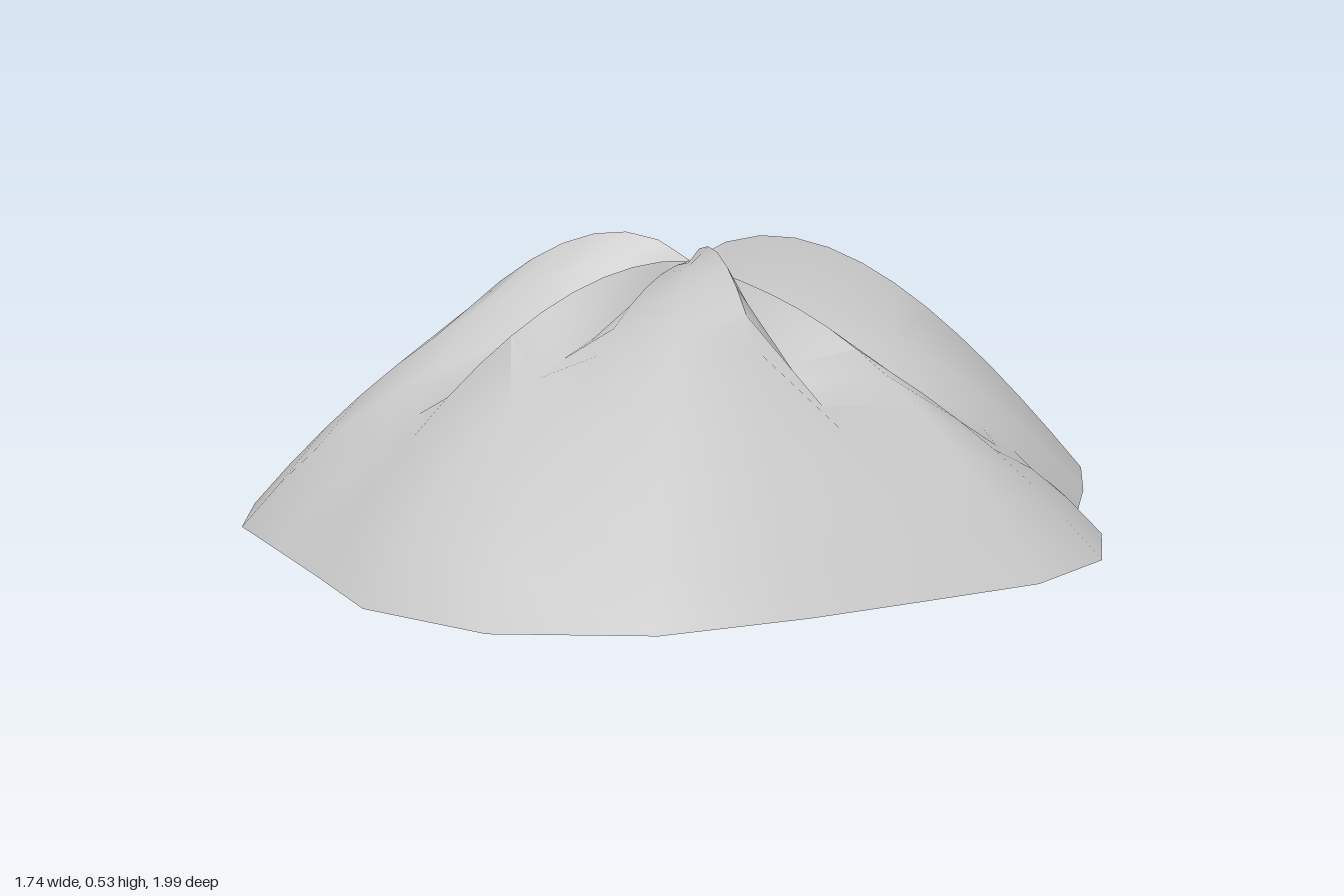
import * as THREE from 'three';
import { toCreasedNormals } from 'three/addons/utils/BufferGeometryUtils.js';

// One spoke every 15 degrees, clockwise from the back:
// [rim radius, bulge near the peak, bulge near the rim]
const SPOKES = [
  [1.0, -0.85, 0.4], [0.97, -0.2, 0.36], [0.94, 0.3, 0.48], [0.97, 0.75, 0.55],
  [0.98, -0.2, 0.5], [0.91, 1.13, 0.5], [0.80, 0.15, 0.42], [0.745, -0.45, 0.33],
  [0.80, -1.1, 0.38], [0.87, 0.0, 0.36], [0.89, 0.25, 0.57], [0.88, -0.5, 0.55],
  [0.93, 1.05, 0.68], [1.03, 0.6, 0.62], [1.065, 0.55, 0.52], [1.0, -0.25, 0.55],
  [0.88, 0.6, 0.53], [0.84, -0.8, 0.55], [0.86, -0.4, 0.55], [0.85, 0.6, 0.5],
  [0.78, 1.22, 0.55], [0.76, 0.6, 0.46], [0.84, 0.4, 0.38], [0.95, 0.5, 0.34],
];
const RINGS = 12;
const PEAK = 0.48;
const CENTRE_X = -0.01;

// Height along a spoke: a straight fall to the rim plus a bulge that evens out outward
const height = (t, inner, outer) =>
  (1 - t) * (PEAK + t * THREE.MathUtils.lerp(inner, outer, Math.sqrt(t)));

function creasedSheet() {
  const n = SPOKES.length;
  const positions = [CENTRE_X, PEAK, 0];
  const index = [];
  const id = (ring, spoke) => 1 + (ring - 1) * n + (spoke % n);

  for (let r = 1; r <= RINGS; r++) {
    const t = r / RINGS;
    SPOKES.forEach(([radius, inner, outer], s) => {
      const a = (s / n) * Math.PI * 2;
      positions.push(CENTRE_X + Math.sin(a) * radius * t, height(t, inner, outer), -Math.cos(a) * radius * t);
    });
  }

  for (let s = 0; s < n; s++) {
    index.push(0, id(1, s + 1), id(1, s));
    for (let r = 1; r < RINGS; r++) {
      const a = id(r, s), b = id(r, s + 1), c = id(r + 1, s), d = id(r + 1, s + 1);
      index.push(a, b, c, b, d, c);
    }
  }

  const geometry = new THREE.BufferGeometry();
  geometry.setAttribute('position', new THREE.Float32BufferAttribute(positions, 3));
  geometry.setIndex(index);
  // Folds stay sharp near the peak and fade toward the rim
  return toCreasedNormals(geometry, Math.PI / 3);
}

export function createModel() {
  const group = new THREE.Group();
  group.name = 'creasedMound';

  const grey = new THREE.MeshStandardMaterial({ color: 0xc8c8c8, side: THREE.DoubleSide });
  grey.name = 'light grey';

  // Open shell, gathered at the peak and spreading to an uneven rim
  const shell = new THREE.Mesh(creasedSheet(), grey);
  shell.name = 'moundShell';
  group.add(shell);
  return group;
}
